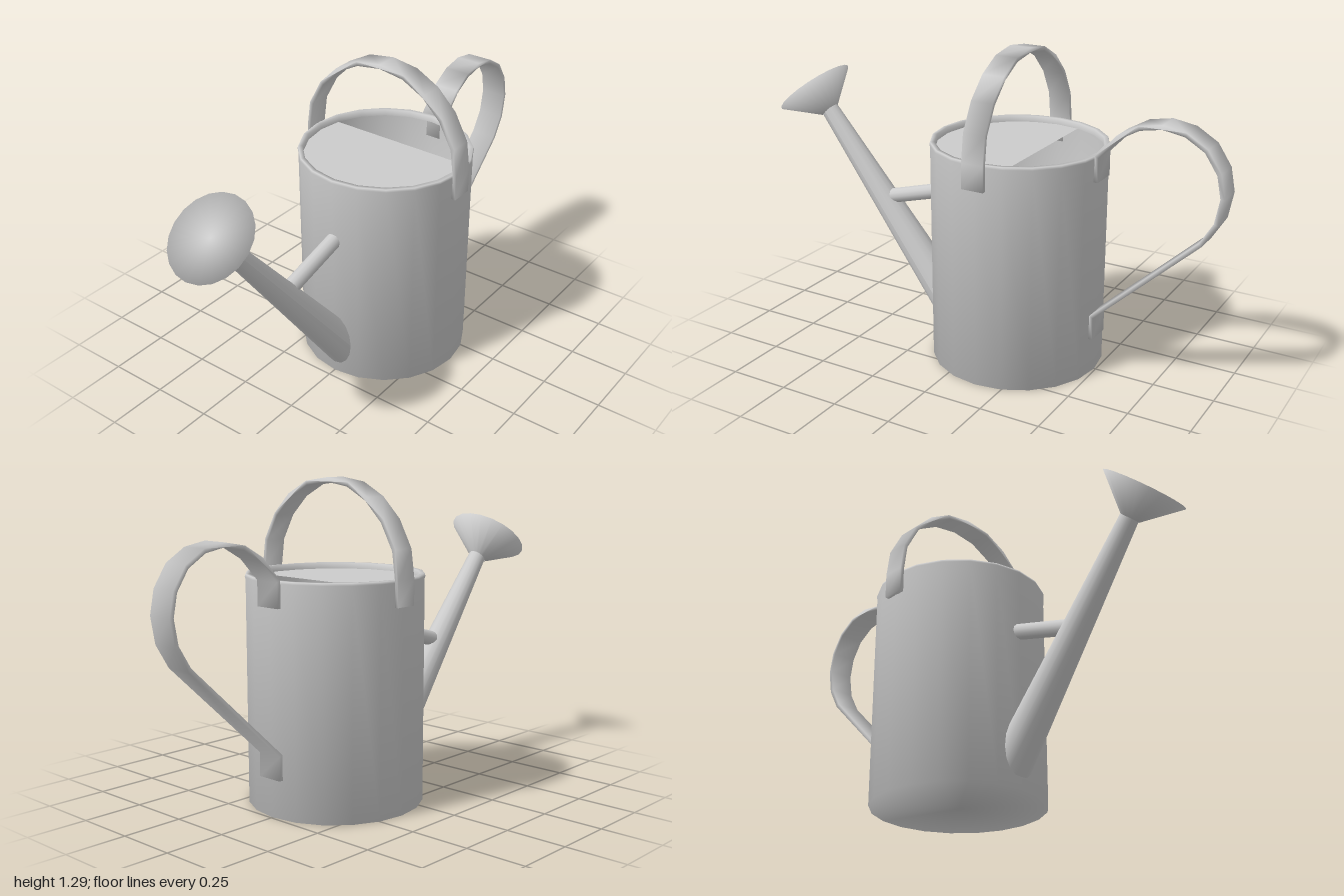
import * as THREE from 'three';
import { toCreasedNormals } from 'three/addons/utils/BufferGeometryUtils.js';

const CX = 0.14, R = 0.353, H = 0.92, SIDES = 20;
const material = new THREE.MeshStandardMaterial({ color: 0xcccccc, side: THREE.DoubleSide });
const V3 = (x, y, z = 0) => new THREE.Vector3(x, y, z);
const UP = V3(0, 1, 0);

function mesh(name, geometry, parent) {
  const m = new THREE.Mesh(geometry, material);
  m.name = name;
  parent.add(m);
  return m;
}

const lathe = (points, sides) =>
  new THREE.LatheGeometry(points.map(([x, y]) => new THREE.Vector2(x, y)), sides);

// Metal strap: a 2D centre line given thickness, extruded to a width centred on z = 0, softly shaded
function strap(points, width, thickness) {
  const p = points.map(([x, y]) => new THREE.Vector2(x, y));
  const side = (s) => p.map((q, i) => {
    const a = q.clone().sub(p[Math.max(i - 1, 0)]).normalize();
    const b = p[Math.min(i + 1, p.length - 1)].clone().sub(q).normalize();
    const t = a.add(b).normalize();
    return new THREE.Vector2(q.x - t.y * s, q.y + t.x * s);
  });
  const outline = [...side(thickness / 2), ...side(-thickness / 2).reverse()];
  const g = new THREE.ExtrudeGeometry(new THREE.Shape(outline), { depth: width, bevelEnabled: false });
  g.translate(0, 0, -width / 2);
  return toCreasedNormals(g, 1.7);
}

// Open tapered tube between two points
function tube(from, to, r0, r1, sides) {
  const dir = to.clone().sub(from);
  const g = new THREE.CylinderGeometry(r1, r0, dir.length(), sides, 1, true);
  g.translate(0, dir.length() / 2, 0);
  g.applyQuaternion(new THREE.Quaternion().setFromUnitVectors(UP, dir.normalize()));
  return g.translate(from.x, from.y, from.z);
}

export function createModel() {
  const can = new THREE.Group();
  can.name = 'wateringCan';

  // Body: flat base, wall and inward-turned lip in one smooth profile
  const body = new THREE.Group();
  body.name = 'body';
  body.position.x = CX;
  can.add(body);
  mesh('shell', lathe([[0, 0], [R, 0], [R, H - 0.02], [R + 0.003, H - 0.01], [R, H],
    [R - 0.018, H], [R - 0.02, H - 0.025]], SIDES), body);

  // Half cover over the spout side, cut by a straight chord
  const chord = Math.acos(0.1 / R);
  const cover = new THREE.Shape();
  for (let i = 0; i <= 16; i++) {
    const a = chord + (i / 16) * (2 * Math.PI - 2 * chord);
    cover[i ? 'lineTo' : 'moveTo'](Math.cos(a) * (R - 0.008), Math.sin(a) * (R - 0.008));
  }
  mesh('cover', new THREE.ShapeGeometry(cover).rotateX(-Math.PI / 2).translate(0, H - 0.025, 0), body);

  // Carrying handle arching over the top
  const half = [[0.359, 0.818], [0.359, 0.92], [0.344, 1.03], [0.287, 1.135], [0.206, 1.215], [0.11, 1.266]];
  const arch = [...half, [0, 1.282], ...half.slice().reverse().map(([x, y]) => [-x, y])];
  mesh('topHandle', strap(arch, 0.092, 0.017).rotateY(Math.PI / 2), body);

  // Pouring handle at the side opposite the spout
  const loop = [[0.496, 0.157], [0.496, 0.255], [0.92, 0.652], [0.973, 0.74], [0.991, 0.84], [0.973, 0.93],
    [0.92, 1.01], [0.84, 1.058], [0.75, 1.073], [0.66, 1.056], [0.58, 1.01], [0.496, 0.92], [0.496, 0.818]];
  mesh('sideHandle', strap(loop, 0.108, 0.017), can);

  // Spout, its lower ring slid along the axis to meet the round wall
  const foot = V3(-0.21, 0.165), neck = V3(-0.8, 0.92);
  const axis = neck.clone().sub(foot).normalize();
  const spout = tube(foot, neck, 0.077, 0.037, 16);
  const pos = spout.attributes.position;
  for (let i = 0; i < pos.count; i++) {
    if (pos.getY(i) > 0.5) continue;
    const z = pos.getZ(i);
    const wallX = CX - Math.sqrt((R - 0.006) ** 2 - z * z);
    const s = (wallX - pos.getX(i)) / axis.x;
    pos.setXYZ(i, wallX, pos.getY(i) + s * axis.y, z);
  }
  spout.computeVertexNormals();
  mesh('spout', spout, can);

  // Flared sprinkler head with a flat face
  const head = mesh('sprinklerHead', lathe([[0.037, -0.02], [0.171, 0.1], [0, 0.1]], 20), can);
  const facing = V3(-0.638, 0.771).normalize();
  head.quaternion.setFromUnitVectors(UP, facing);
  head.position.copy(V3(-0.87, 0.9975)).addScaledVector(facing, -0.1);

  // Brace between wall and spout
  mesh('brace', tube(V3(-0.19, 0.651), V3(-0.47, 0.573), 0.032, 0.032, 12), can);

  return can;
}
